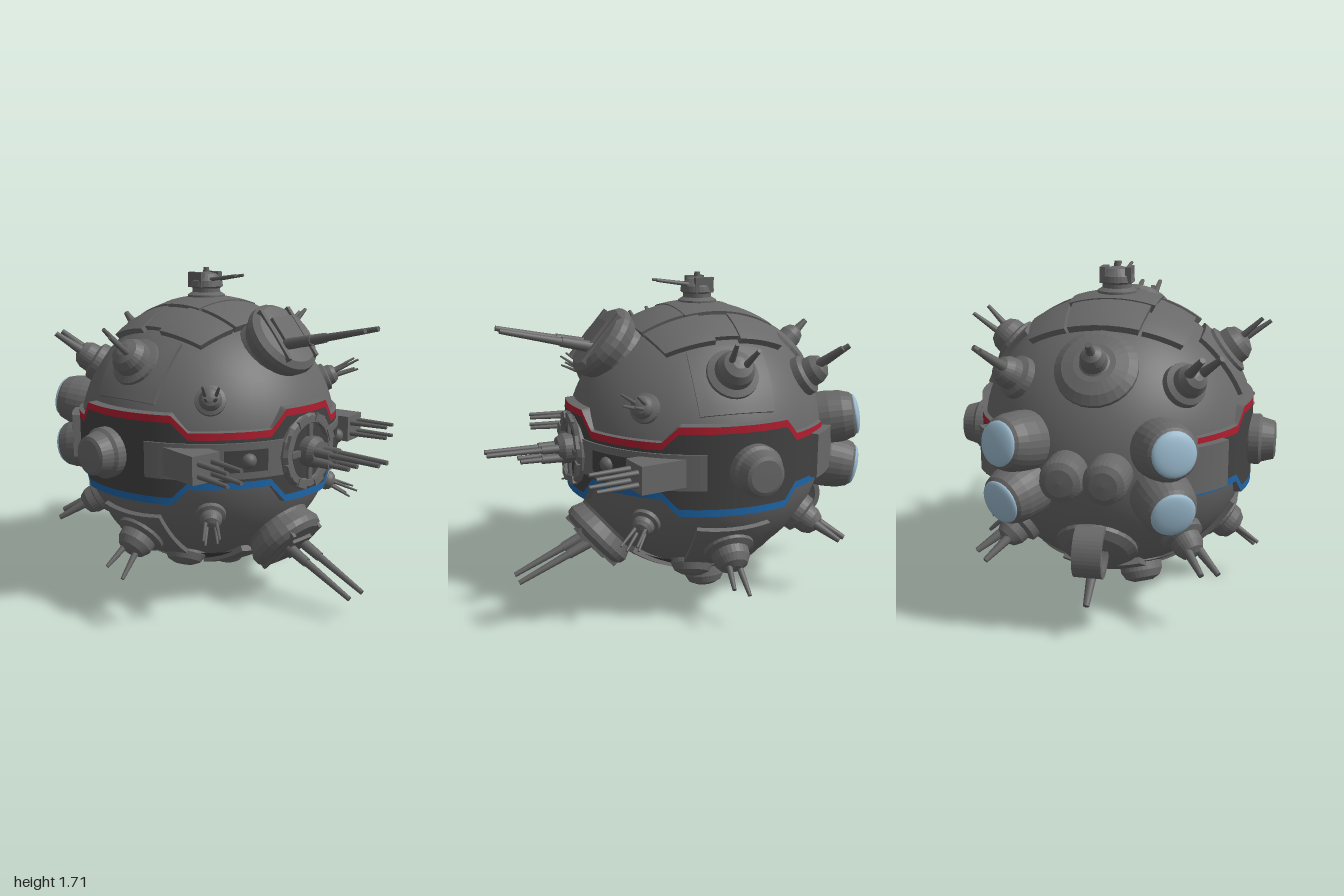
import * as THREE from 'three';

const mat = (name, color) => {
  const m = new THREE.MeshStandardMaterial({ color, side: THREE.DoubleSide });
  m.name = name;
  return m;
};
const V = (x, y, z) => new THREE.Vector3(x, y, z);
const C = V(-0.15, 0.83, 0), R = 0.7, UP = V(0, 1, 0), SIGNS = [-1, 1];
const rad = THREE.MathUtils.degToRad;

export function createModel() {
  const hull = mat('hull grey', 0x686868), dark = mat('dark grey', 0x424242);
  const metal = mat('gun grey', 0x626262), red = mat('red', 0xb31e30);
  const blue = mat('blue', 0x1e66a8), glass = mat('pale blue', 0x9abace);
  const root = new THREE.Group();
  root.name = 'sphereStation';

  const add = (name, geo, m, parent = root) => {
    const mesh = new THREE.Mesh(geo, m);
    mesh.name = name;
    parent.add(mesh);
    return mesh;
  };
  const box = (name, w, h, d, pos, m, parent = root) => {
    const b = add(name, new THREE.BoxGeometry(w, h, d), m, parent);
    b.position.copy(pos);
    return b;
  };
  // tapered bar between two points
  const rod = (name, a, b, r0, r1, parent = root) => {
    const d = b.clone().sub(a);
    const m = add(name, new THREE.CylinderGeometry(r1, r0, d.length(), 10), metal, parent);
    m.position.copy(a).addScaledVector(d, 0.5);
    m.quaternion.setFromUnitVectors(UP, d.normalize());
  };
  const lathe = (pts, n = 28) => {
    const g = new THREE.LatheGeometry(pts.map(p => new THREE.Vector2(p[0], p[1])), n).toNonIndexed();
    g.computeVertexNormals();
    return g;
  };
  // group whose y axis points along dir and whose x axis is level
  const mount = (name, pos, dir) => {
    const g = new THREE.Group(), y = dir.clone().normalize();
    const x = Math.abs(y.y) > 0.99 ? V(1, 0, 0) : UP.clone().cross(y).normalize();
    g.quaternion.setFromRotationMatrix(new THREE.Matrix4().makeBasis(x, y, x.clone().cross(y)));
    g.position.copy(pos);
    g.name = name;
    root.add(g);
    return g;
  };
  const onHull = (name, dir, dist = R) =>
    mount(name, C.clone().addScaledVector(dir.clone().normalize(), dist), dir);
  // slab bent onto the sphere; u and v are offset ranges in the tangent plane
  const plate = (name, dir, [u0, u1], [v0, v1], lift, m = hull) => {
    const g = new THREE.BoxGeometry(u1 - u0, 1, v1 - v0, 8, 1, 8), p = g.attributes.position, q = V(0, 0, 0);
    for (let i = 0; i < p.count; i++) {
      q.set(p.getX(i) + (u0 + u1) / 2, R, p.getZ(i) + (v0 + v1) / 2);
      q.setLength(p.getY(i) > 0 ? R + lift : R - 0.02);
      p.setXYZ(i, q.x, q.y, q.z);
    }
    g.computeVertexNormals();
    add(name, g, m, onHull(name + 'Mount', dir, 0));
  };
  // curved block around the equator
  const arcBlock = (name, a0, a1, r0, r1, h, m) => {
    const s = new THREE.Shape();
    s.absarc(0, 0, r1, rad(a0), rad(a1), false);
    s.absarc(0, 0, r0, rad(a1), rad(a0), true);
    const g = new THREE.ExtrudeGeometry(s, { depth: h, bevelEnabled: false, curveSegments: 10 });
    g.translate(0, 0, -h / 2).rotateX(-Math.PI / 2);
    add(name, g, m).position.copy(C);
  };

  add('hull', new THREE.SphereGeometry(R, 56, 40), hull).position.copy(C);

  // stepped equatorial band with coloured edges
  const steps = [[0, .2], [13, .2], [20, .106], [54, .106], [61, .188], [107, .188], [113, .108], [137, .108]];
  const edge = a => {
    a = Math.abs(a);
    const i = Math.max(1, steps.findIndex(s => s[0] >= a)), [p, q] = [steps[i - 1], steps[i]];
    return p[1] + (q[1] - p[1]) * (a - p[0]) / (q[0] - p[0]);
  };
  const RB = 0.704;
  const ribbon = (name, lo, hi, m) => {
    const pos = [], idx = [], n = 274;
    for (let i = 0; i <= n; i++) {
      const a = -137 + 274 * i / n, e = edge(a);
      for (const [y, r] of [lo(e), hi(e)]) pos.push(r * Math.cos(rad(a)), y, r * Math.sin(rad(a)));
      if (i < n) idx.push(2 * i, 2 * i + 1, 2 * i + 2, 2 * i + 2, 2 * i + 1, 2 * i + 3);
    }
    const g = new THREE.BufferGeometry();
    g.setAttribute('position', new THREE.Float32BufferAttribute(pos, 3));
    g.setIndex(idx);
    g.computeVertexNormals();
    add(name, g, m).position.copy(C);
  };
  const T = 0.036;
  ribbon('equatorBand', e => [-e, RB], e => [e, RB], dark);
  ribbon('upperStripe', e => [e, RB], e => [e + T, RB], red);
  ribbon('lowerStripe', e => [-e - T, RB], e => [-e, RB], blue);
  const inner = e => Math.sqrt(R * R - (e + T) ** 2) - 0.005;
  ribbon('upperLedge', e => [e + T, RB], e => [e + T + 0.006, inner(e)], hull);
  ribbon('lowerLedge', e => [-e - T - 0.006, inner(e)], e => [-e - T, RB], hull);

  // hull plating on the crown
  for (const s of SIGNS) for (const t of SIGNS) {
    const u = s < 0 ? [-0.42, -0.08] : [0.08, 0.42];
    plate('crownPlate', UP, u, t < 0 ? [-0.5, -0.22] : [0.22, 0.5], 0.032);
    plate('crownSidePlate', UP, u, [-0.2, 0.2], 0.036);
  }
  plate('crownCross', UP, [-0.11, 0.11], [-0.46, 0.46], 0.024);
  plate('crownCentre', UP, [-0.15, 0.15], [-0.22, 0.22], 0.042);

  // dark underside with plates and rounded pods
  add('undersideCap', new THREE.SphereGeometry(R + 0.012, 40, 8, 0, Math.PI * 2, Math.PI - 0.64, 0.64), dark)
    .position.copy(C);
  const down = V(0, -1, 0);
  for (const s of SIGNS) {
    plate('bellyPlate', down, s < 0 ? [-0.55, -0.2] : [0.2, 0.55], [-0.25, 0.25], 0.032);
    plate('bellyEndPlate', down, [-0.22, 0.22], s < 0 ? [-0.45, -0.27] : [0.27, 0.45], 0.026);
  }
  const pod = [[0.11, -0.09], [0.11, 0.04], [0.09, 0.08], [0.05, 0.1], [0, 0.1]];
  for (const [x, y, z, out] of [[0, -.68, -.14, .742], [-.27, -.62, .17, .71], [.15, -.58, -.33, .68], [.15, -.58, .33, .67]])
    add('bellyPod', lathe(pod), hull, onHull('bellyPodMount', V(x, y, z), out)).scale.set(1, 0.9, 0.8);

  // general gun turret: base radius and height, barrel tips, length and thickness
  const turret = (name, dir, r, h, tips, len, br) => {
    const g = onHull(name, dir);
    add('turretBase', lathe([[r * 1.05, -0.04], [r, h * 0.2], [r * 0.75, h * 0.3], [r * 0.72, h * 0.6],
      [r * 0.55, h * 0.85], [r * 0.25, h * 0.97], [0, h]]), hull, g);
    for (const [x, z, k] of tips)
      rod('barrel', V(x * 0.6, h * 0.5, z * 0.4), V(x, len * k, z), br, br * 0.5, g);
  };
  for (const z of SIGNS) for (const y of SIGNS) {
    const main = V(0.04, y > 0 ? 0.43 : -0.45, 0.54 * z);
    plate('turretFrame', main, [-0.2, 0.2], [-0.16, 0.2], 0.024);
    turret('mainTurret', main, 0.13, 0.14, [[-0.045, -0.03, 0.93], [0.045, 0.02, 1]], 0.28, 0.02);
    turret('quadTurret', V(0.47, 0.3 * y, 0.47 * z), 0.075, 0.08,
      [[-.04, -.02, 1], [.04, -.02, .95], [-.03, .03, .9], [.03, .03, .85]], 0.21, 0.011);
    turret('rearTurret', V(-0.47, 0.4 * y, 0.43 * z), 0.105, 0.14,
      [[-.05, -.03, 0.95], [.045, -.02, 1]], 0.28, 0.028);
  }
  // tail turrets on broad discs
  const disc = [[0.2, -0.06], [0.2, -0.01], [0.16, 0.02], [0.1, 0.035], [0, 0.04]];
  for (const [d, len] of [[V(-0.55, 0.49, 0), 0.2], [V(-0.61, -0.5, 0), 0.3]]) {
    add('tailDisc', lathe(disc), hull, onHull('tailDiscMount', d));
    turret('tailTurret', d, 0.085, 0.14, [[0, 0, 1]], len, 0.03);
  }
  // tail loop
  const loop = new THREE.Shape();
  loop.absellipse(0, 0, 0.1, 0.125, 0, Math.PI * 2);
  const hole = new THREE.Path();
  hole.absellipse(0, 0, 0.07, 0.095, 0, Math.PI * 2);
  loop.holes.push(hole);
  const lp = add('tailLoop', new THREE.ExtrudeGeometry(loop, { depth: 0.14, bevelEnabled: false, curveSegments: 20 }), hull);
  lp.position.set(-0.82, 0.43, -0.07);
  lp.rotation.z = -0.35;

  // heavy twin guns above and below the starboard ring
  for (const [pos, axis, from, to] of [
    [V(0.375, 1.38, 0), V(0.76, 0.65, 0), V(0.4, 1.355, 0), V(0.91, 1.47, 0)],
    [V(0.42, 0.325, 0), V(0.75, -0.66, 0), V(0.42, 0.335, 0), V(0.87, 0.135, 0)]]) {
    const g = mount('heavyTurret', pos, axis);
    add('heavyDisc', lathe([[0.21, -0.16], [0.19, -0.1], [0.18, -0.07], [0.205, -0.01], [0.2, 0.02],
      [0.17, 0.045], [0, 0.06]]), hull, g);
    for (const s of SIGNS) {
      box('gunCheek', 0.022, 0.05, 0.3, V(0.105 * s, 0.035, 0), metal, g);
      const o = V(0, 0, 0.055 * s);
      rod('heavyBarrel', from.clone().add(o), to.clone().add(o), 0.026, 0.013);
      rod('barrelSleeve', from.clone().add(o), from.clone().lerp(to, 0.4).add(o), 0.032, 0.026);
    }
    box('gunHouse', 0.15, 0.04, 0.18, V(0, 0.05, 0), metal, g);
  }

  // starboard gun ring
  const ring = mount('gunRing', V(0.5, 0.83, 0), V(1, 0, 0));
  add('ringRim', lathe([[0.2, -0.06], [0.2, 0.05], [0.185, 0.07], [0.15, 0.07], [0.14, 0.03]], 16), hull, ring);
  add('ringFloor', new THREE.CylinderGeometry(0.145, 0.145, 0.02, 24), dark, ring).position.y = 0.035;
  box('ringSpoke', 0.29, 0.03, 0.03, V(0, 0.055, 0), metal, ring);
  box('ringSpoke', 0.03, 0.03, 0.29, V(0, 0.055, 0), metal, ring);
  add('ringHub', lathe([[0.08, 0.03], [0.08, 0.1], [0.06, 0.13], [0, 0.14]]), metal, ring);
  for (let i = 0; i < 8; i++) {
    const a = i * Math.PI / 4 + Math.PI / 8;
    box('ringClamp', 0.04, 0.02, 0.07, V(0.172 * Math.cos(a), 0.067, 0.172 * Math.sin(a)), hull, ring).rotation.y = -a;
  }
  for (const z of SIGNS) for (const [y, end] of [[0.84, 1], [0.79, 0.83]]) {
    rod('ringBarrel', V(0.58, y, 0.035 * z), V(end, y, 0.035 * z), 0.016, 0.012);
    rod('ringSleeve', V(0.58, y, 0.035 * z), V(0.72, y, 0.035 * z), 0.024, 0.022);
  }

  for (const s of SIGNS) {
    const arc = (name, a, b, ...rest) => arcBlock(name, Math.min(a * s, b * s), Math.max(a * s, b * s), ...rest);
    // gun rails beside the ring
    arc('gunRail', 14, 72, 0.62, 0.715, 0.18, hull);
    arc('railBay', 22, 40, 0.62, 0.719, 0.11, dark);
    const a = rad(30);
    add('railBall', new THREE.SphereGeometry(0.04, 16, 12), metal)
      .position.set(C.x + 0.71 * Math.cos(a), C.y, C.z + 0.71 * Math.sin(a) * s);
    // rail guns splayed slightly outward
    const rail = new THREE.Group();
    rail.name = 'railGuns';
    rail.position.set(0.29, 0.83, 0.58 * s);
    rail.rotation.y = 0.15 * -s;
    root.add(rail);
    box('railGunHouse', 0.25, 0.14, 0.16, V(0, 0, 0), hull, rail);
    for (const z of SIGNS) for (const y of SIGNS)
      rod('railBarrel', V(0.1, 0.03 * y, 0.04 * z), V(0.34, 0.03 * y, 0.04 * z), 0.015, 0.01, rail);
    // band end blocks
    arc('bandEnd', 124, 150, 0.6, 0.745, 0.23, hull);
    // front and back domes
    add('sideDome', lathe([[0.11, -0.05], [0.13, 0.01], [0.13, 0.06], [0.115, 0.075], [0.098, 0.135], [0.08, 0.143], [0, 0.145]], 32),
      hull, mount('sideDomeMount', V(-0.17, 0.83, 0.685 * s), V(0, 0, s)));
    // thrusters with pale lenses
    for (const y of SIGNS) {
      const g = onHull('thruster', V(-0.735, 0.137 * y, 0.39 * s));
      add('thrusterShell', lathe([[0.145, -0.12], [0.145, 0.04], [0.137, 0.11], [0.12, 0.16], [0.1, 0.178], [0, 0.178]]), hull, g);
      const lens = add('thrusterLens', new THREE.SphereGeometry(0.107, 24, 12), glass, g);
      lens.scale.y = 0.25;
      lens.position.y = 0.175;
    }
    // paired stern drums
    add('sternDrum', lathe([[0.105, -0.1], [0.105, 0.1], [0.095, 0.14], [0.065, 0.155], [0, 0.16]]), hull,
      mount('sternDrumMount', V(-0.84, 0.83, 0.1 * s), V(-1, 0, 0)));
  }

  // crown gun
  add('crownTurret', lathe([[0.1, -0.02], [0.1, 0.045], [0.075, 0.06], [0.075, 0.08], [0.09, 0.09],
    [0.085, 0.12], [0.055, 0.155], [0, 0.17]]), hull).position.set(-0.16, 1.53, 0);
  for (const s of SIGNS) {
    box('crownCheek', 0.1, 0.08, 0.03, V(-0.17, 1.655, 0.065 * s), metal);
    rod('crownBarrel', V(-0.15, 1.65, 0.03 * s), V(0.08, 1.685, 0.03 * s), 0.012, 0.008);
  }
  rod('crownMast', V(-0.16, 1.66, 0), V(-0.16, 1.72, 0), 0.02, 0.015);
  return root;
}
